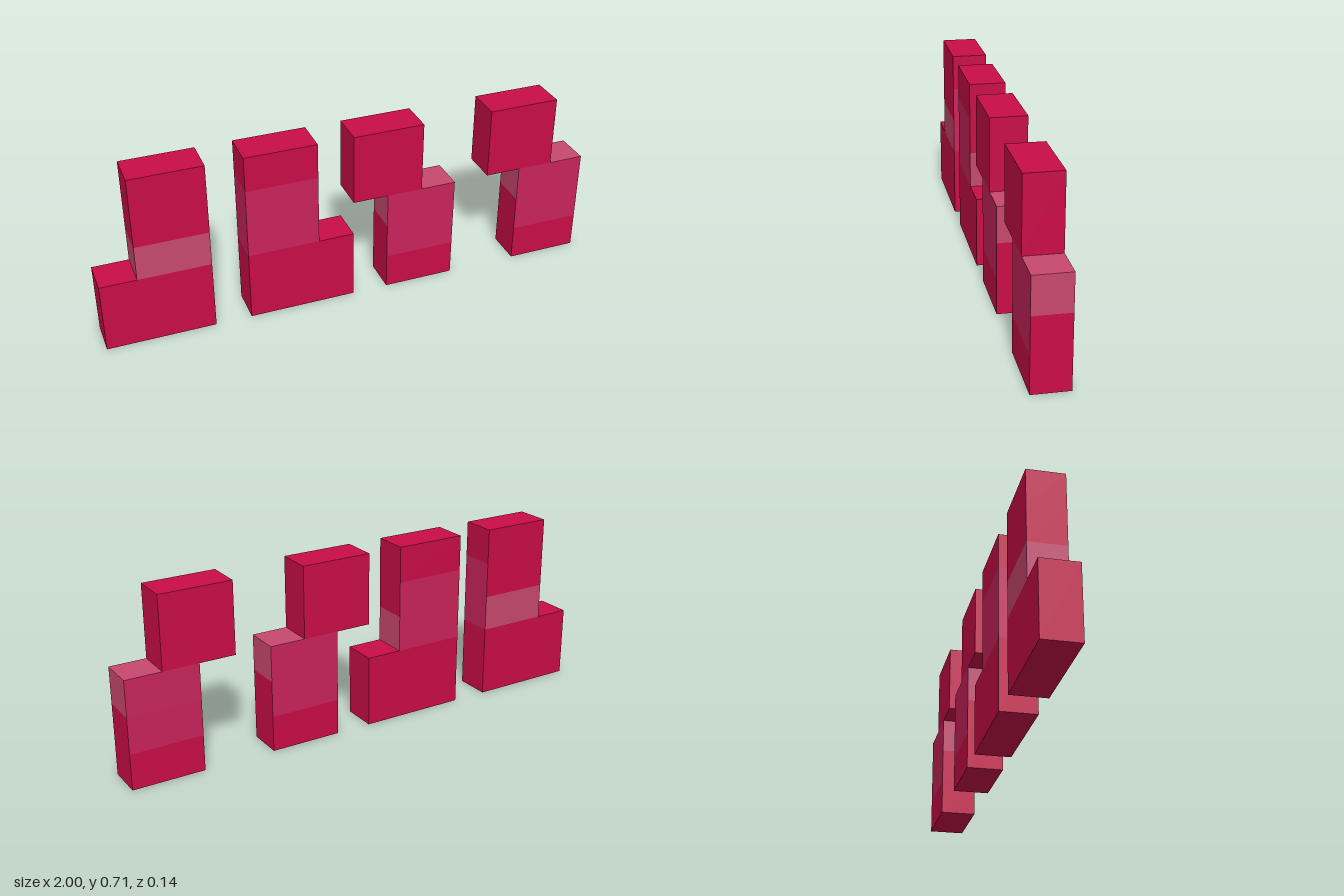
import * as THREE from 'three';

const U = 1 / 7; // one block unit

const material = (name, color) => {
  const m = new THREE.MeshStandardMaterial({ color });
  m.name = name;
  return m;
};

// Box section in block units; faces gives the colour key of
// +x, -x, top, bottom, front, back ('-' leaves a hidden face out)
function section(name, x0, x1, y0, y1, faces, palette) {
  const g = new THREE.BoxGeometry((x1 - x0) * U, (y1 - y0) * U, U);
  g.translate((x0 + x1) / 2 * U, (y0 + y1) / 2 * U, 0);
  const source = Array.from(g.index.array);
  const index = [], used = [];
  g.clearGroups();
  [...faces].forEach((key, i) => {
    if (key === '-') return;
    if (!used.includes(key)) used.push(key);
    g.addGroup(index.length, 6, used.indexOf(key));
    index.push(...source.slice(i * 6, i * 6 + 6));
  });
  g.setIndex(index);
  const mats = used.map(k => palette[k]);
  const mesh = new THREE.Mesh(g, mats.length > 1 ? mats : mats[0]);
  if (mats.length === 1) g.clearGroups();
  mesh.name = name;
  return mesh;
}

export function createModel() {
  const palette = {
    R: material('crimson', 0xc90d48),
    M: material('rose', 0xc9245c),
    L: material('dusty pink', 0xc8486f),
  };

  // Tower rising from the inner end of a wide foot
  const towerA = [
    ['foot', 0, 3, 0, 2, 'RRRRRR'],
    ['lowerBand', 1, 3, 2, 3, 'ML--LL'],
    ['upperBand', 1, 3, 3, 4, 'MR--RR'],
    ['cap', 1, 3, 4, 5, 'RRR-RR'],
  ];
  // Tower rising from the outer end of a wide foot
  const towerB = [
    ['foot', 0, 3, 0, 2, 'RRRRRR'],
    ['lowerBand', 0, 2, 2, 3, 'LM--MM'],
    ['upperBand', 0, 2, 3, 4, 'RM--MM'],
    ['cap', 0, 2, 4, 5, 'RRR-RR'],
  ];
  // Post carrying an offset head block
  const post = [
    ['postFoot', 1, 3, 0, 1, 'RR-RRR'],
    ['postMiddle', 1, 3, 1, 2, 'RR--MM'],
    ['postTop', 1, 3, 2, 3, 'LLL-MM'],
    ['headBlock', 0, 2, 3, 5, 'RRRRRR'],
  ];

  const model = new THREE.Group();
  model.name = 'blockRow';
  const row = [
    ['firstTower', -7, towerA],
    ['secondTower', -3, towerB],
    ['firstPost', 0, post],
    ['secondPost', 4, post],
  ];
  for (const [name, offset, parts] of row) {
    const group = new THREE.Group();
    group.name = name;
    group.position.x = offset * U;
    for (const part of parts) group.add(section(...part, palette));
    model.add(group);
  }
  return model;
}
